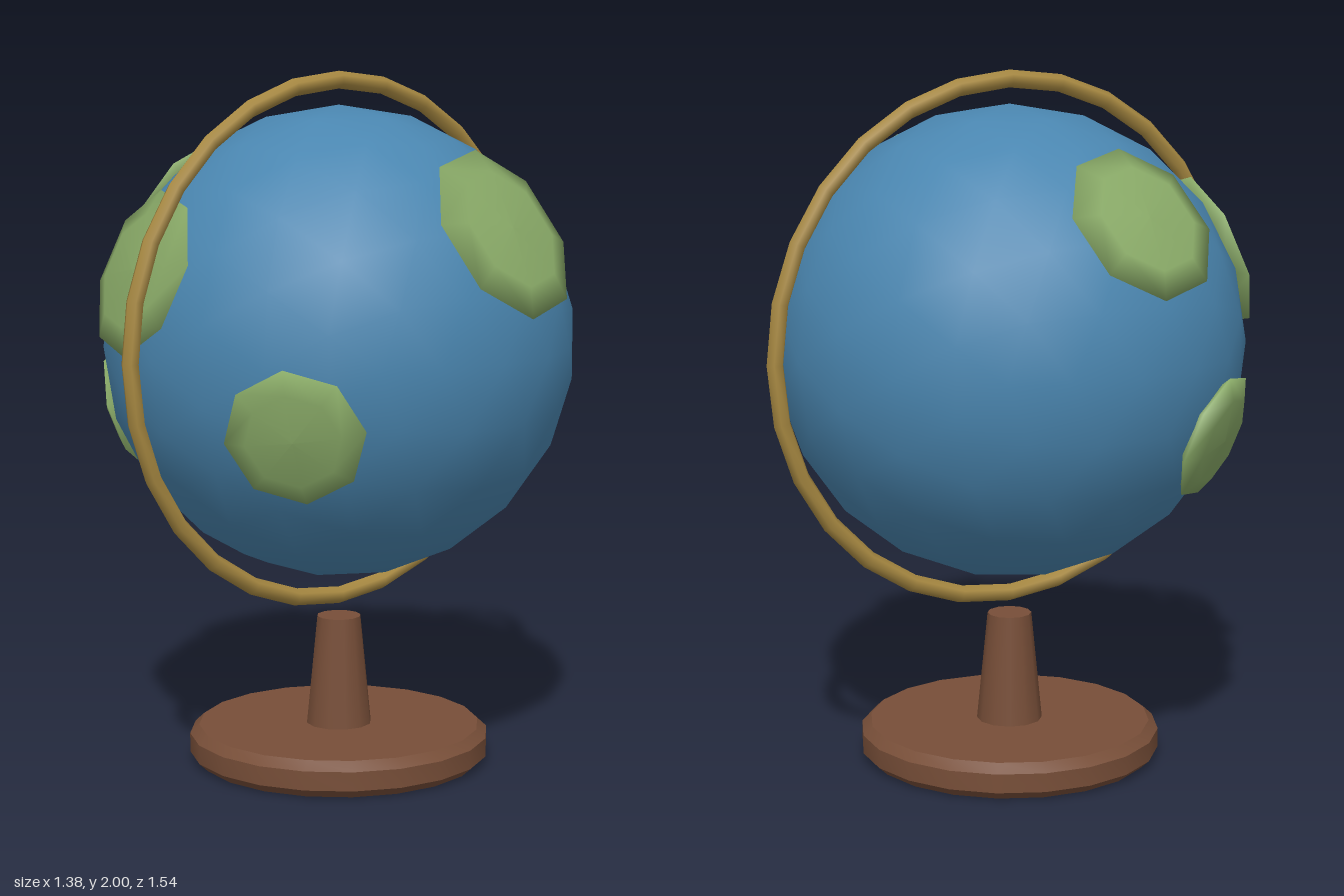
import * as THREE from 'three';
import { toCreasedNormals } from 'three/addons/utils/BufferGeometryUtils.js';

const CENTER = new THREE.Vector3(-0.012, 1.23, 0);
const RADIUS = 0.675;

const paint = (color) => new THREE.MeshStandardMaterial({ color });
const blue = paint(0x4a86b0);
const green = paint(0x8aab68);
const brass = paint(0xa98a42);
const wood = paint(0x774e38);

const lathe = (profile, sides) =>
  new THREE.LatheGeometry(profile.map(([r, y]) => new THREE.Vector2(r, y)), sides);

export function createModel() {
  const model = new THREE.Group();
  model.name = 'deskGlobe';

  function add(name, geometry, material, position) {
    const mesh = new THREE.Mesh(geometry, material);
    mesh.name = name;
    mesh.position.copy(position);
    model.add(mesh);
    return mesh;
  }

  // Round foot with bevelled rims, and the tapered post on it
  const foot = lathe([[0, 0], [0.41, 0], [0.437, 0.025], [0.437, 0.08], [0.41, 0.105], [0, 0.105]], 20);
  add('foot', toCreasedNormals(foot, 0.5), wood, new THREE.Vector3(CENTER.x, 0, 0));
  add('post', new THREE.CylinderGeometry(0.064, 0.096, 0.325, 12), wood,
    new THREE.Vector3(CENTER.x, 0.262, 0));

  // Ocean sphere
  add('ocean', new THREE.IcosahedronGeometry(RADIUS, 3), blue, CENTER);

  // Upright ring around the sphere, front to back
  const ring = add('meridianRing', new THREE.TorusGeometry(0.745, 0.025, 6, 28), brass, CENTER);
  ring.rotation.y = Math.PI / 2;

  // Land: flattened eight-sided lenses facing outward: [direction, radius]
  const lands = [
    ['frontLand', [-0.11, 0.23, 0.62], 0.24],
    ['leftLand', [0.565, 0.34, -0.1], 0.26],
    ['rightLand', [-0.535, 0.39, 0.09], 0.235],
    ['lowerLeftLand', [0.395, -0.175, 0.5], 0.195],
    ['lowerRightLand', [-0.53, -0.22, 0.34], 0.19],
  ];
  const up = new THREE.Vector3(0, 1, 0);
  for (const [name, direction, r] of lands) {
    const normal = new THREE.Vector3(...direction).normalize();
    const lens = lathe([[0, -0.045], [r * 0.7, -0.035], [r, 0], [r * 0.68, 0.028], [0, 0.036]], 8);
    const land = add(name, lens, green, CENTER.clone().addScaledVector(normal, 0.667));
    land.quaternion.setFromUnitVectors(up, normal);
  }

  return model;
}
